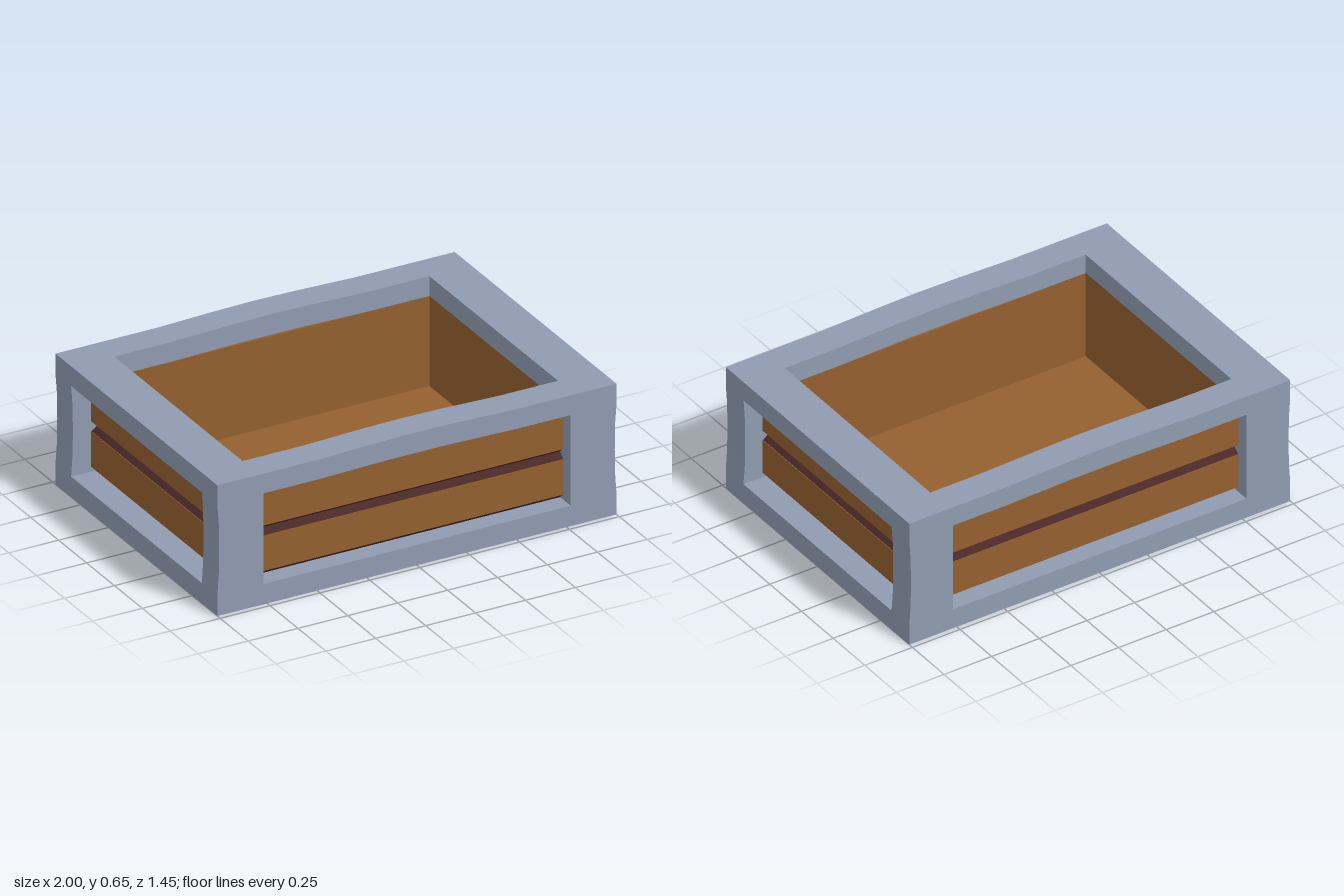
import * as THREE from 'three';

const mat = (color) => new THREE.MeshStandardMaterial({ color, flatShading: true });

export function createModel() {
  const slate = mat(0x8f9bb0), wood = mat(0x94602f), dark = mat(0x4a2828);
  const crate = new THREE.Group();
  crate.name = 'planterBox';

  const add = (parent, name, geometry, material) => {
    const mesh = new THREE.Mesh(geometry, material);
    mesh.name = name;
    parent.add(mesh);
    return mesh;
  };
  // Box given by its minimum and maximum corners
  const box = (x0, x1, y0, y1, z0, z1) =>
    new THREE.BoxGeometry(x1 - x0, y1 - y0, z1 - z0)
      .translate((x0 + x1) / 2, (y0 + y1) / 2, (z0 + z1) / 2);
  // Outline in x and y, extruded from z0 to z1
  const prism = (points, z0, z1) =>
    new THREE.ExtrudeGeometry(new THREE.Shape(points.map(([x, y]) => new THREE.Vector2(x, y))),
      { depth: z1 - z0, bevelEnabled: false }).translate(0, 0, z0);

  // Solid base and the wooden floor on it
  add(crate, 'base', box(-1, 1, 0, 0.1, -0.725, 0.725), slate);
  add(crate, 'floor', box(-0.79, 0.79, 0.09, 0.103, -0.575, 0.575), wood);

  // Slightly crowned long rail and gently waisted corner post
  const railOutline = [
    [-1, 0.545], [-0.5, 0.545], [-0.15, 0.553], [0.15, 0.553], [0.5, 0.545], [1, 0.545],
    [1, 0.642], [0.5, 0.642], [0.2, 0.651], [0, 0.654], [-0.2, 0.651], [-0.5, 0.642], [-1, 0.642],
  ];
  const postOutline = [
    [0.77, 0.1], [1, 0.1], [0.993, 0.2], [0.991, 0.32], [0.993, 0.45], [1, 0.545], [0.77, 0.545],
  ];

  // Recessed panel facing +z: grooved dark core with two wooden boards
  const panel = (name, halfWidth, back, face) => {
    const group = new THREE.Group();
    group.name = name;
    const groove = face - 0.03;
    const profile = [
      [back, 0.1], [groove, 0.1], [face, 0.127], [face, 0.3], [groove, 0.325],
      [face, 0.35], [face, 0.525], [groove, 0.55], [groove, 0.565], [back, 0.565],
    ];
    // Turn the profile so that its first axis is z and it runs along x
    const core = prism(profile, -halfWidth, halfWidth).rotateY(-Math.PI / 2);
    add(group, 'boardCore', core, dark);
    for (const [y0, y1] of [[0.127, 0.3], [0.35, 0.525]]) {
      add(group, 'board', box(-halfWidth, halfWidth, y0, y1, face - 0.01, face + 0.003), wood);
    }
    return group;
  };

  // Front and back: rail, panel, inner lining and two posts each
  for (const [label, turn] of [['front', 0], ['back', Math.PI]]) {
    const side = new THREE.Group();
    side.name = label + 'Side';
    side.rotation.y = turn;
    add(side, 'topRail', prism(railOutline, 0.575, 0.725), slate);
    add(side, 'lining', box(-0.82, 0.82, 0.09, 0.545, 0.575, 0.6), wood);
    side.add(panel('plankPanel', 0.77, 0.59, 0.66));
    for (const s of [1, -1]) {
      const outline = postOutline.map(([x, y]) => [x * s, y]);
      add(side, 'cornerPost', prism(outline, 0.585, 0.725), slate);
    }
    crate.add(side);
  }

  // Left and right: straight rail, panel and lining
  for (const [label, turn] of [['left', Math.PI / 2], ['right', -Math.PI / 2]]) {
    const side = new THREE.Group();
    side.name = label + 'Side';
    side.rotation.y = turn;
    add(side, 'topRail', box(-0.575, 0.575, 0.545, 0.642, 0.79, 1), slate);
    add(side, 'lining', box(-0.58, 0.58, 0.09, 0.545, 0.79, 0.82), wood);
    side.add(panel('plankPanel', 0.58, 0.81, 0.9));
    // Shadowed joints closing the panel against the posts
    for (const s of [1, -1]) {
      add(side, 'joint', box(s * 0.582 - 0.005, s * 0.582 + 0.005, 0.1, 0.545, 0.81, 0.87), dark);
    }
    crate.add(side);
  }
  return crate;
}
